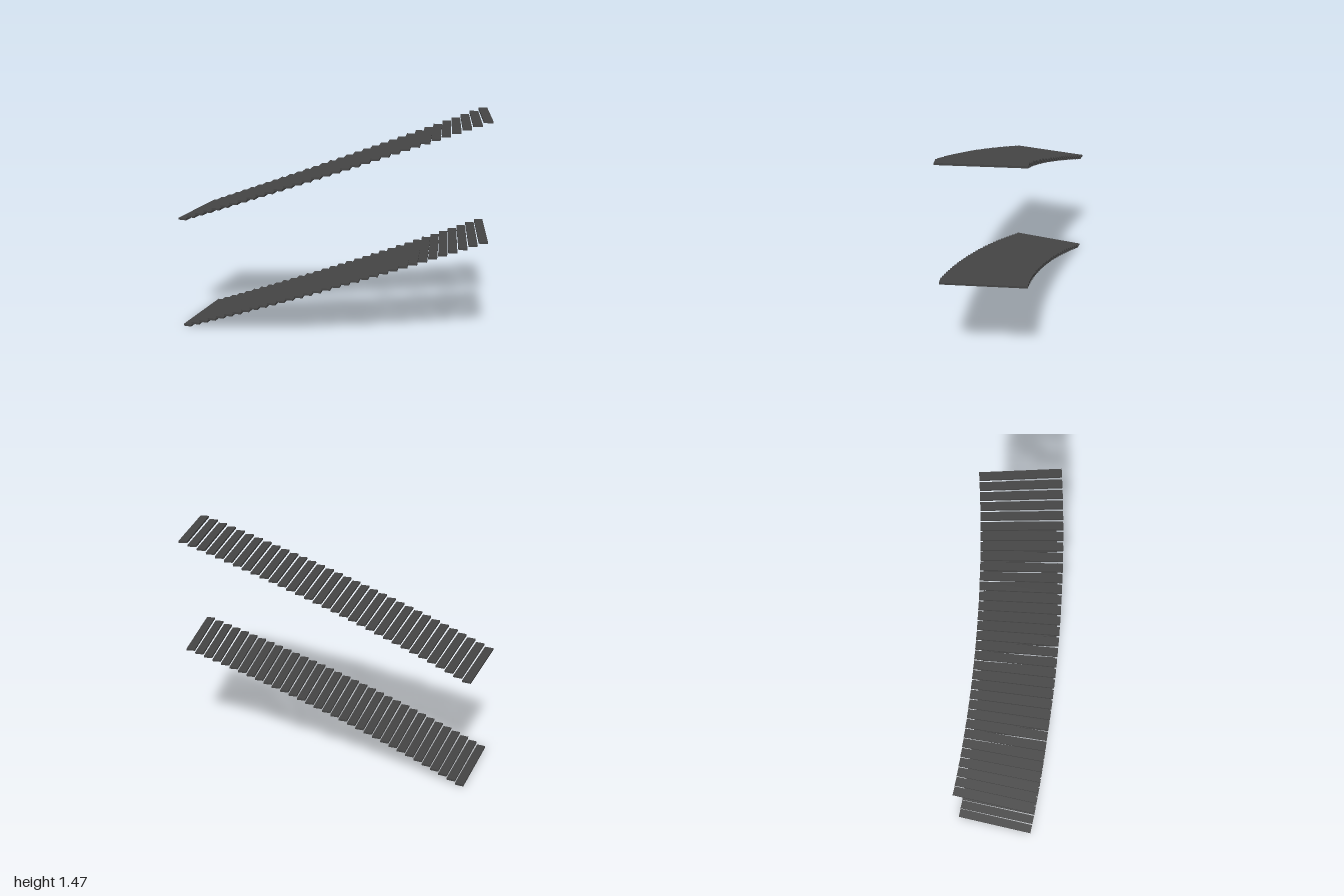
import * as THREE from 'three';

const STEPS = 33;          // treads in each flight
const RISE = 0.0222;       // height between treads
const THICK = 0.0125;
const LENGTH = 0.508;      // along the radius
const WIDTH = 0.0555;      // along the walking line
const FLIGHT_OFFSET = 0.743;

// plan arc that the treads follow
const CENTRE_X = -1.735, CENTRE_Z = -6.569, RADIUS = 6.845;
const START = THREE.MathUtils.degToRad(6.4);
const END = THREE.MathUtils.degToRad(22.65);

export function createModel() {
  const model = new THREE.Group();
  model.name = 'curvedStairTreads';

  const charcoal = new THREE.MeshStandardMaterial({ color: 0x444444 });
  charcoal.name = 'charcoal';
  const treadGeometry = new THREE.BoxGeometry(WIDTH, THICK, LENGTH);

  // one flight of floating treads, climbing toward +x
  function makeFlight(name, baseY) {
    const flight = new THREE.Group();
    flight.name = name;
    flight.position.y = baseY;
    for (let i = 0; i < STEPS; i++) {
      const angle = START + (END - START) * (i + 0.5) / STEPS;
      const tread = new THREE.Mesh(treadGeometry, charcoal);
      tread.name = 'tread' + (i + 1);
      tread.position.set(
        CENTRE_X + RADIUS * Math.sin(angle),
        THICK / 2 + i * RISE,
        CENTRE_Z + RADIUS * Math.cos(angle)
      );
      tread.rotation.y = angle;
      flight.add(tread);
    }
    return flight;
  }

  model.add(makeFlight('lowerFlight', 0), makeFlight('upperFlight', FLIGHT_OFFSET));
  return model;
}
